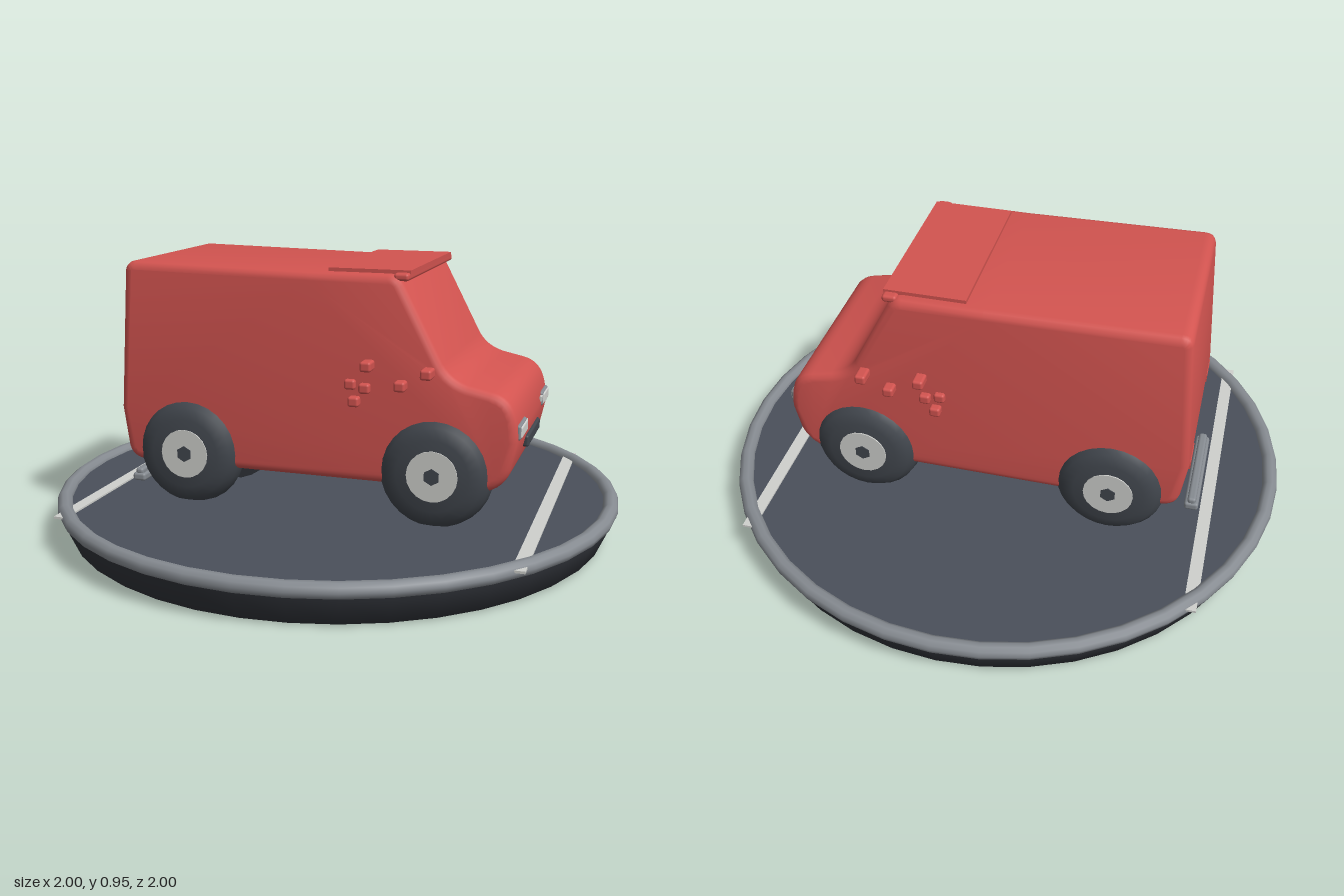
import * as THREE from 'three';
import { toCreasedNormals } from 'three/addons/utils/BufferGeometryUtils.js';
import { RoundedBoxGeometry } from 'three/addons/geometries/RoundedBoxGeometry.js';

const material = (name, color) => {
  const m = new THREE.MeshStandardMaterial({ color });
  m.name = name;
  return m;
};

export function createModel() {
  const red = material('red paint', 0xd35450);
  const slate = material('slate floor', 0x4a505b);
  const black = material('black base', 0x303339);
  const tyreGrey = material('tyre rubber', 0x41464d);
  const steel = material('steel rim', 0x868b91);
  const white = material('off white', 0xcfd0cd);

  const model = new THREE.Group();
  const add = (name, geometry, mat, x = 0, y = 0, z = 0, parent = model) => {
    const mesh = new THREE.Mesh(geometry, mat);
    mesh.name = name;
    mesh.position.set(x, y, z);
    parent.add(mesh);
    return mesh;
  };
  const box = (w, h, d) => new THREE.BoxGeometry(w, h, d);
  const rounded = (w, h, d, r) => new RoundedBoxGeometry(w, h, d, 2, r);
  const lathe = (points, segments, crease = 0.6) => toCreasedNormals(
    new THREE.LatheGeometry(points.map(p => new THREE.Vector2(...p)), segments), crease);

  // Round display base
  add('base', lathe([[0, 0], [0.935, 0], [0.95, 0.012], [0.985, 0.09], [0.99, 0.12], [0.96, 0.122]], 40), black);
  add('floor', new THREE.CylinderGeometry(0.965, 0.965, 0.01, 40), slate, 0, 0.12);
  const rim = new THREE.TorusGeometry(0.972, 0.027, 10, 40).rotateX(Math.PI / 2);
  add('baseRim', rim, steel, 0, 0.12);
  for (const s of [-1, 1]) add('floorStripe', box(0.043, 0.008, 1.3), white, s * 0.763, 0.127);
  add('plaqueFoot', rounded(0.05, 0.03, 0.38, 0.01), steel, -0.71, 0.138);
  add('plaque', rounded(0.03, 0.025, 0.37, 0.01), steel, -0.71, 0.158);

  // Van body: side profile extruded across the width
  const p = new THREE.Shape();
  p.moveTo(-0.59, 0.25);
  p.lineTo(0.6, 0.25);
  p.quadraticCurveTo(0.66, 0.27, 0.68, 0.33);
  p.lineTo(0.7, 0.42);
  p.quadraticCurveTo(0.7, 0.49, 0.68, 0.53);
  p.quadraticCurveTo(0.66, 0.57, 0.61, 0.58);
  p.lineTo(0.54, 0.595);
  p.quadraticCurveTo(0.48, 0.61, 0.45, 0.66);
  p.lineTo(0.32, 0.91);
  p.quadraticCurveTo(0.3, 0.94, 0.27, 0.94);
  p.lineTo(0, 0.94);
  p.lineTo(-0.62, 0.952);
  p.quadraticCurveTo(-0.655, 0.952, -0.66, 0.92);
  p.lineTo(-0.692, 0.44);
  p.lineTo(-0.672, 0.3);
  p.quadraticCurveTo(-0.66, 0.25, -0.59, 0.25);
  const bevel = 0.028, half = 0.333;
  const bodyGeometry = new THREE.ExtrudeGeometry(p, {
    depth: 2 * (half - bevel), curveSegments: 6,
    bevelSize: bevel, bevelThickness: bevel, bevelOffset: -bevel, bevelSegments: 3,
  }).translate(0, 0, -(half - bevel));
  add('body', toCreasedNormals(bodyGeometry, 0.6), red);

  // Roof panel with overhanging visor
  add('roofPanel', box(0.275, 0.016, 0.585), red, 0.2, 0.944);
  add('visor', rounded(0.05, 0.025, 0.64, 0.01), red, 0.312, 0.932);

  // Front and rear fittings
  add('grille', rounded(0.022, 0.04, 0.265, 0.008), tyreGrey, 0.695, 0.38);
  for (const s of [-1, 1]) {
    add('headlightFrame', rounded(0.022, 0.05, 0.13, 0.008), steel, 0.695, 0.453, s * 0.245);
    add('headlight', rounded(0.02, 0.038, 0.118, 0.006), white, 0.7, 0.453, s * 0.245);
    add('headlightTab', box(0.02, 0.018, 0.03), white, 0.695, 0.458, s * 0.172);
    add('rearLight', box(0.012, 0.03, 0.1), red, -0.688, 0.42, s * 0.24);
  }

  // Clusters of small studs on both flanks: x, y, reach in z
  const studs = [[0.15, 0.58, 0.35], [0.165, 0.525, 0.36], [0.2, 0.57, 0.355],
    [0.212, 0.648, 0.382], [0.322, 0.588, 0.372], [0.411, 0.635, 0.386]];
  for (const s of [-1, 1]) {
    for (const [x, y, reach] of studs) {
      const depth = reach - 0.31;
      add('stud', rounded(0.038, 0.034, depth, 0.009), red, x, y, s * (0.31 + depth / 2));
    }
  }

  // Wheels, built along y and turned to face outwards
  const tyre = lathe([[0, -0.072], [0.12, -0.072], [0.16, -0.06], [0.182, -0.035], [0.19, 0],
    [0.182, 0.035], [0.16, 0.06], [0.12, 0.072], [0, 0.072]], 28, 0.7);
  const hub = new THREE.CylinderGeometry(0.085, 0.085, 0.012, 20);
  const nut = new THREE.CylinderGeometry(0.028, 0.028, 0.008, 6);
  for (const x of [-0.437, 0.433]) {
    for (const s of [-1, 1]) {
      const wheel = new THREE.Group();
      wheel.name = 'wheel';
      wheel.position.set(x, 0.3, s * 0.291);
      wheel.rotation.x = s * Math.PI / 2;
      add('tyre', tyre, tyreGrey, 0, 0, 0, wheel);
      add('hub', hub, white, 0, 0.07, 0, wheel);
      add('hubNut', nut, tyreGrey, 0, 0.075, 0, wheel);
      model.add(wheel);
    }
    // Slim supports under the chassis
    const support = new THREE.CylinderGeometry(0.195, 0.195, 0.08, 28).rotateX(Math.PI / 2);
    add('chassisSupport', support, black, x - Math.sign(x) * 0.028, 0.315);
  }
  return model;
}
